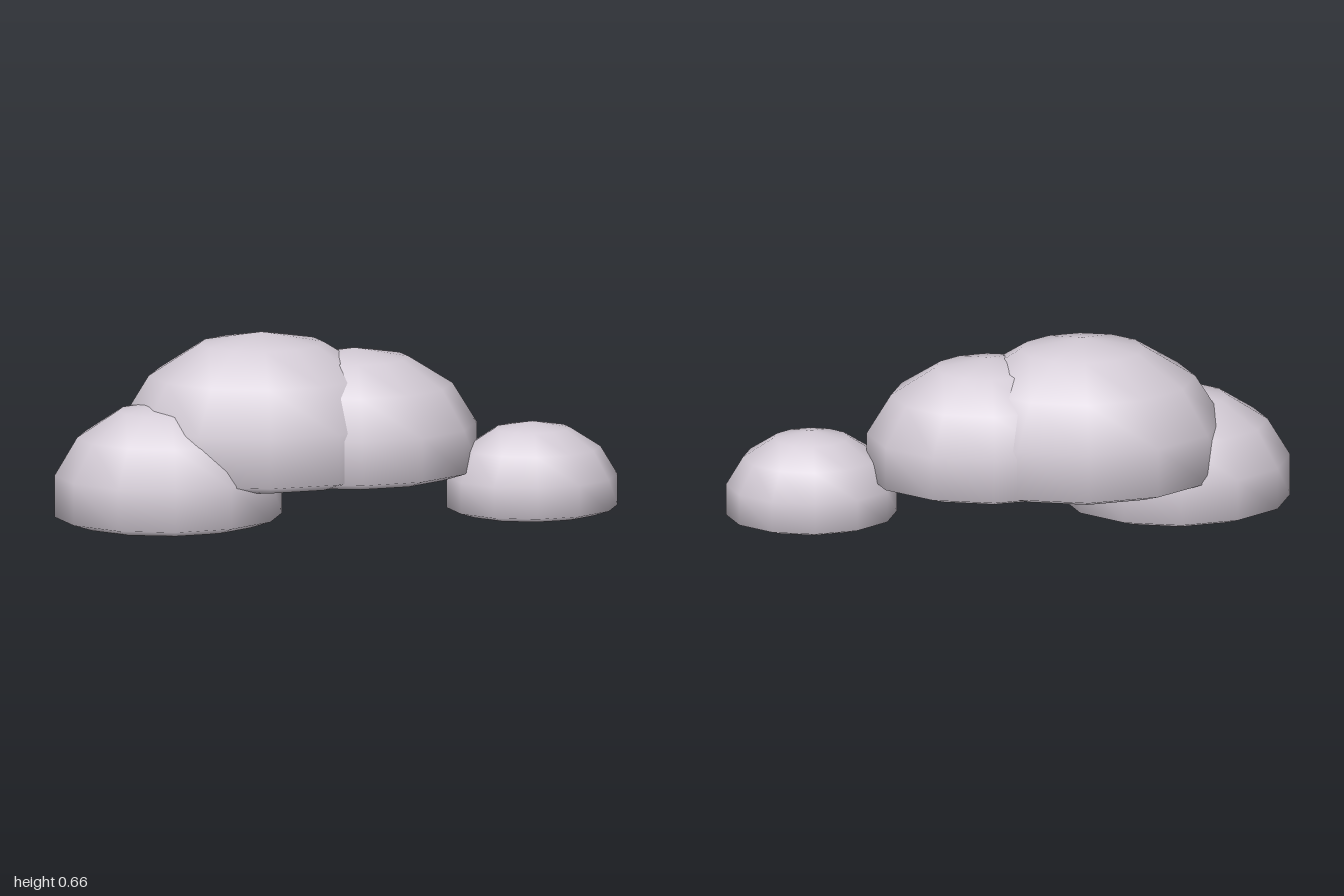
import * as THREE from 'three';
import { mergeVertices } from 'three/addons/utils/BufferGeometryUtils.js';

const cloud = new THREE.MeshStandardMaterial({ color: 0xd2cad4 });
cloud.name = 'cloudGrey';

// Low-sided ellipsoid, flattened underneath at 0.3 of its height radius
function puff(name, [x, z], base, [rx, ry, rz]) {
  let geo = new THREE.SphereGeometry(1, 12, 7);
  const pos = geo.attributes.position;
  for (let i = 0; i < pos.count; i++) pos.setY(i, Math.max(pos.getY(i), -0.3));
  geo.scale(rx, ry, rz);
  // weld the seam so the shading stays smooth all round
  geo.deleteAttribute('uv');
  geo.deleteAttribute('normal');
  geo = mergeVertices(geo, 1e-4);
  geo.computeVertexNormals();
  const mesh = new THREE.Mesh(geo, cloud);
  mesh.name = name;
  mesh.position.set(x, base + 0.3 * ry, z);
  return mesh;
}

export function createModel() {
  const group = new THREE.Group();
  group.name = 'cloud';
  group.add(
    puff('largePuff', [-0.26, -0.015], 0.139, [0.51, 0.402, 0.375]),
    puff('middlePuff', [0.07, -0.023], 0.138, [0.445, 0.353, 0.331]),
    puff('rightLowPuff', [-0.597, 0.077], 0, [0.413, 0.337, 0.313]),
    puff('leftSmallPuff', [0.697, 0.005], 0, [0.31, 0.2515, 0.236]),
  );
  return group;
}
